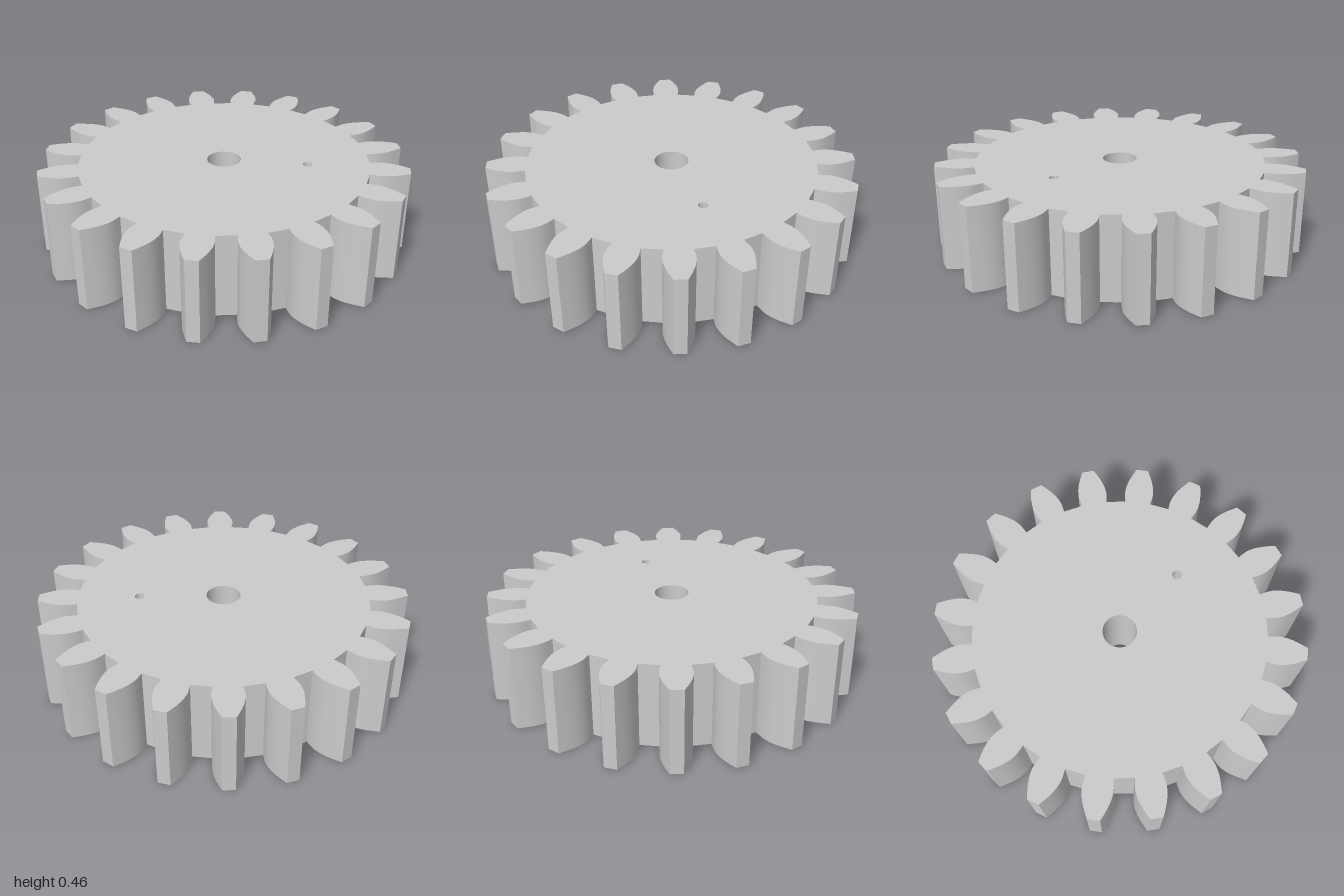
import * as THREE from 'three';
import { toCreasedNormals } from 'three/addons/utils/BufferGeometryUtils.js';

const TEETH = 20;
const HEIGHT = 0.457;
// Tooth flank from root to tip: [distance from centre, half width]
const FLANK = [
  [0.785, 0.07], [0.81, 0.075], [0.835, 0.079], [0.86, 0.079], [0.885, 0.076],
  [0.91, 0.07], [0.94, 0.06], [0.97, 0.047], [1.0, 0.033],
];

function circleHole(x, y, radius) {
  return new THREE.Path().absarc(x, y, radius, 0, Math.PI * 2, true);
}

export function createModel() {
  // One tooth pointing along +x, walked counter-clockwise
  const tooth = [
    ...FLANK.map(([r, w]) => new THREE.Vector2(r, -w)),
    ...FLANK.map(([r, w]) => new THREE.Vector2(r, w)).reverse(),
  ];

  // Repeat the tooth around the wheel; straight root lands join neighbours
  const outline = [];
  const origin = new THREE.Vector2();
  for (let i = 0; i < TEETH; i++) {
    const angle = (i / TEETH) * Math.PI * 2;
    outline.push(...tooth.map((p) => p.clone().rotateAround(origin, angle)));
  }

  // Shaft bore and small off-centre pin hole
  const shape = new THREE.Shape(outline);
  shape.holes.push(circleHole(0, 0, 0.092), circleHole(0.455, 0, 0.026));

  const extruded = new THREE.ExtrudeGeometry(shape, {
    depth: HEIGHT, bevelEnabled: false, curveSegments: 24,
  });
  extruded.rotateX(-Math.PI / 2);

  const gear = new THREE.Mesh(
    toCreasedNormals(extruded, 0.5),
    new THREE.MeshStandardMaterial({ color: 0xcccccc }),
  );
  gear.name = 'gearWheel';

  const group = new THREE.Group();
  group.name = 'spurGear';
  group.add(gear);
  return group;
}
